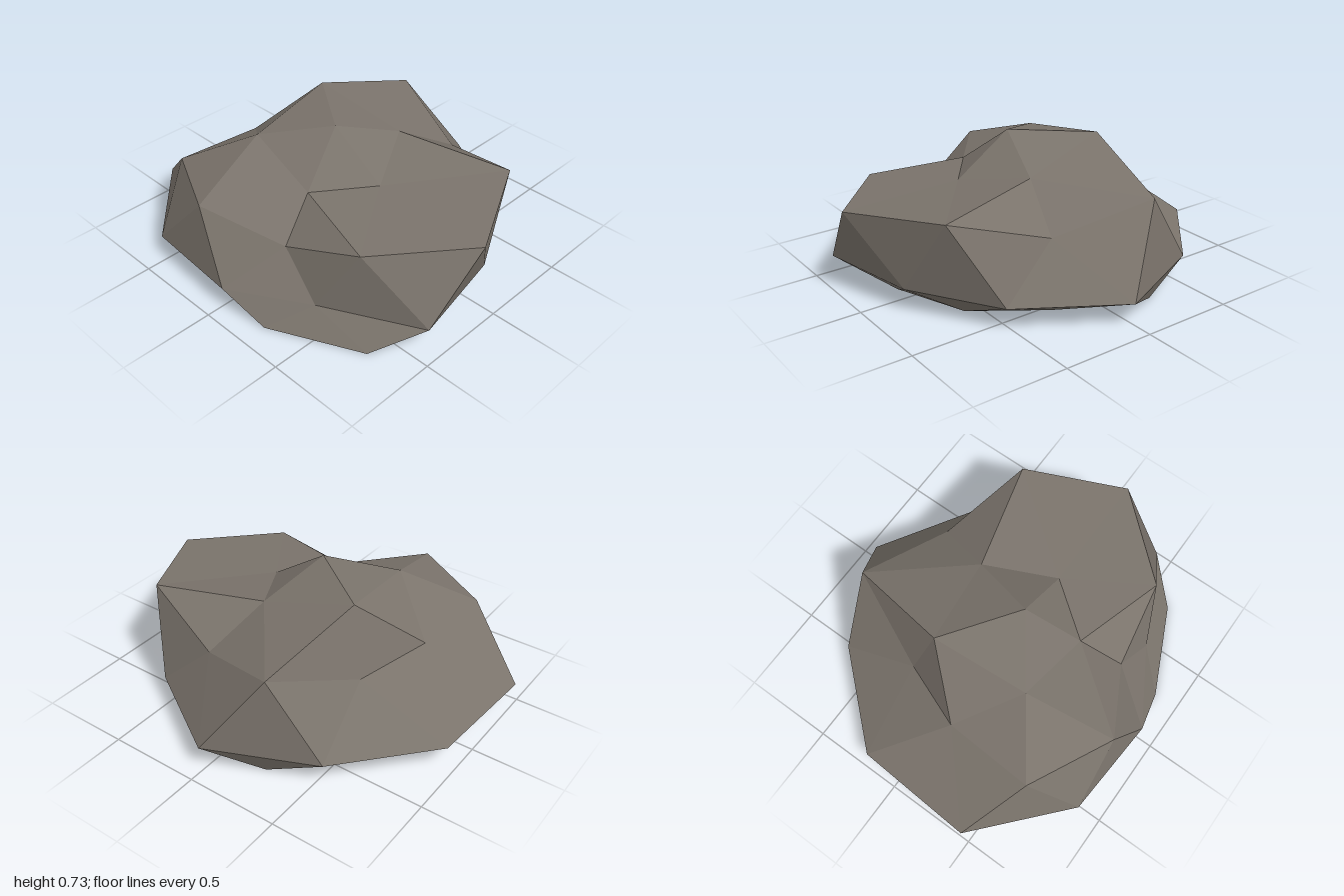
import * as THREE from 'three';

// Cross-section rings, each listed from +x towards +z
const base = [ // flat underside, [x, z]
  [0.745, 0.64], [0.265, 0.865], [-0.19, 0.8], [-0.57, 0.5], [-0.77, 0.11],
  [-0.6, -0.33], [-0.25, -0.73], [0.23, -0.535], [0.58, -0.29], [0.73, 0.11],
].map(([x, z]) => [x, 0, z]);

const waist = [ // widest ring, [x, z]
  [0.935, 0.42], [0.43, 0.675], [0.02, 0.915], [-0.53, 0.875], [-1, 0.455],
  [-0.96, -0.2], [-0.545, -0.665], [0.02, -0.915], [0.54, -0.595], [0.825, -0.135],
].map(([x, z]) => [x, 0.13, z]);

const shoulder = [ // uneven upper ring, half a step round from the waist
  [0.62, 0.473, 0.56], [0.19, 0.335, 0.638], [-0.21, 0.48, 0.84], [-0.65, 0.445, 0.615],
  [-0.62, 0.43, 0.125], [-0.47, 0.355, -0.24], [-0.255, 0.542, -0.725], [0.245, 0.4, -0.553],
  [0.74, 0.543, -0.4], [1, 0.495, 0.125],
];

const crown = [ // five corners around the peak
  [0.115, 0.505, 0.413], [-0.31, 0.635, 0.365], [-0.365, 0.71, -0.155],
  [0.135, 0.583, -0.235], [0.335, 0.51, 0.125],
];
const peak = [0.02, 0.725, 0.125];

function rockGeometry() {
  const positions = [];
  const tri = (...corners) => corners.forEach((c) => positions.push(...c));
  const at = (ring, i) => ring[i % ring.length];

  for (let i = 0; i < 10; i++) {
    const b = base[i], b2 = at(base, i + 1);
    const w = waist[i], w2 = at(waist, i + 1);
    const s = shoulder[i], s2 = at(shoulder, i + 1);
    // Underside
    tri(b, b2, [0, 0, 0]);
    // Undercut
    tri(w, w2, b);
    tri(b, w2, b2);
    // Flanks
    tri(w, s, w2);
    tri(s, s2, w2);
  }
  // Top: each crown corner meets three shoulder corners
  for (let k = 0; k < 5; k++) {
    const t = crown[k], t2 = at(crown, k + 1);
    const s0 = shoulder[2 * k], s1 = shoulder[2 * k + 1], s2 = at(shoulder, 2 * k + 2);
    tri(s0, t, s1);
    tri(s1, t, s2);
    tri(t, t2, s2);
    tri(t, peak, t2);
  }

  const geometry = new THREE.BufferGeometry();
  geometry.setAttribute('position', new THREE.Float32BufferAttribute(positions, 3));
  geometry.computeVertexNormals();
  return geometry;
}

export function createModel() {
  const stone = new THREE.MeshStandardMaterial({ color: 0x7a736b, flatShading: true });
  stone.name = 'stone';
  const rock = new THREE.Mesh(rockGeometry(), stone);
  rock.name = 'rock';
  const group = new THREE.Group();
  group.name = 'boulder';
  group.add(rock);
  return group;
}
